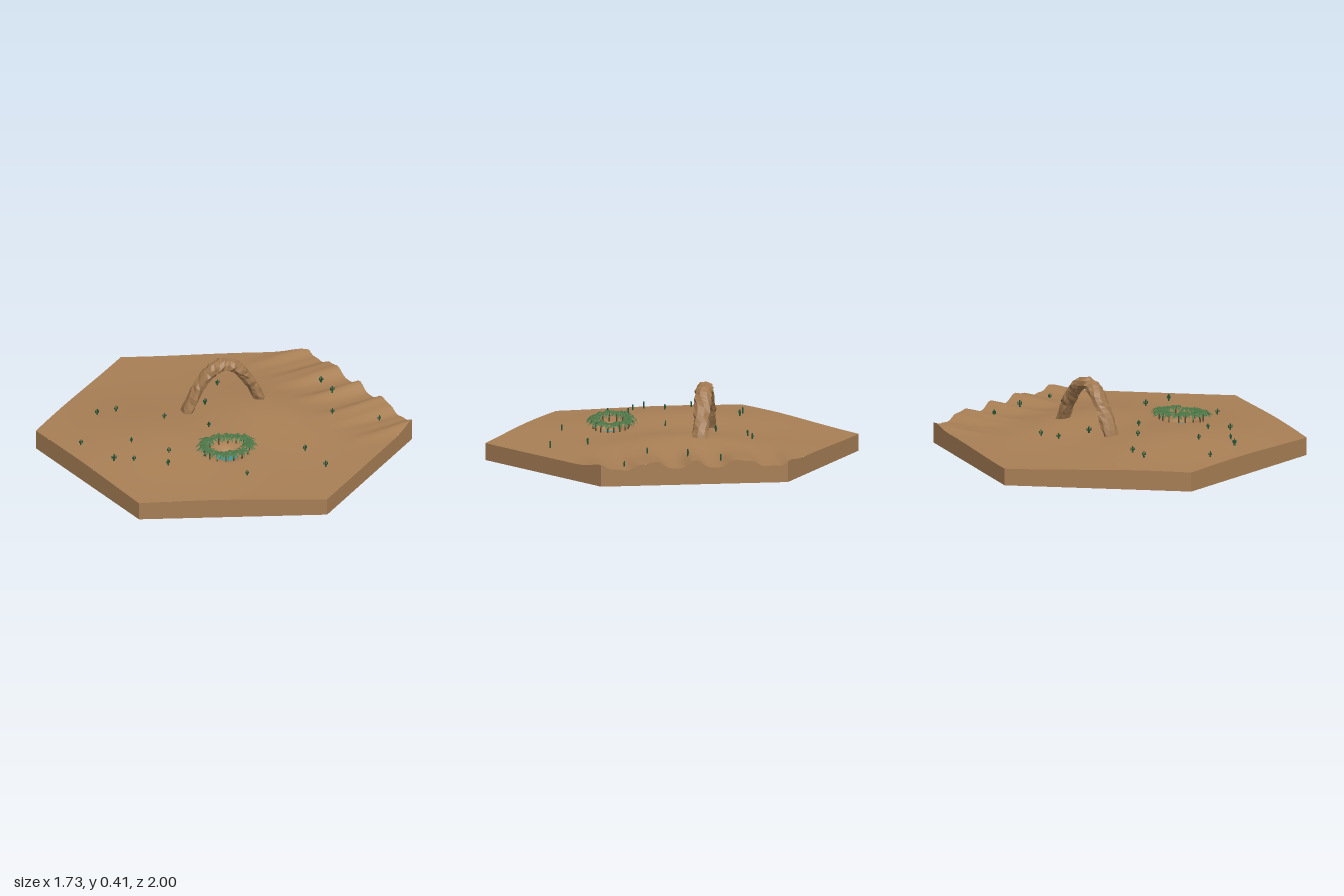
import * as THREE from 'three';
import { mergeGeometries } from 'three/addons/utils/BufferGeometryUtils.js';

const mat = (name, color, side = THREE.FrontSide) => {
  const m = new THREE.MeshStandardMaterial({ color, side });
  m.name = name;
  return m;
};

const POOL = { x: -0.18, z: 0.3, y: 0.098 };
const ROWS = 96;

let seed = 7;
const rand = () => {
  seed = (seed * 16807) % 2147483647;
  return seed / 2147483647;
};

const hill = (x, z, cx, cz, sx, sz) =>
  Math.exp(-(((x - cx) / sx) ** 2 + ((z - cz) / sz) ** 2) / 2);

// Ground height: two broad dunes, ripples along the +x side, and the pool bowl
function ground(x, z) {
  let h = 0.094 + 0.004 * Math.sin(4 * x + 3 * z + 1);
  h += 0.065 * hill(x, z, -0.4, -0.05, 0.28, 0.35);
  h += 0.052 * hill(x, z, 0.28, 0.0, 0.18, 0.28);
  const ramp = THREE.MathUtils.smoothstep(x, 0.38, 0.85);
  const fade = 1 - THREE.MathUtils.smoothstep(Math.abs(z), 0.45, 0.62);
  const wave = Math.cos((2 * Math.PI * (z + 0.01)) / 0.26 + 0.8 * Math.sin(9 * z));
  h += ramp * fade * (0.014 + 0.021 * wave + 0.005 * Math.sin(z * 61 + 2));
  const d = Math.hypot(x - POOL.x, z - POOL.z);
  const k = Math.exp(-((d / 0.06) ** 2));
  return h * (1 - k) + 0.07 * k;
}

// Moves every vertex of a geometry by fn(x, y, z) => [x, y, z]
function reshape(geo, fn) {
  const p = geo.attributes.position;
  for (let i = 0; i < p.count; i++) p.setXYZ(i, ...fn(p.getX(i), p.getY(i), p.getZ(i), i));
  geo.computeVertexNormals();
  return geo;
}

function terrainGeometry() {
  const geo = new THREE.PlaneGeometry(2, 2, ROWS, ROWS).rotateX(-Math.PI / 2);
  return reshape(geo, (u, _, z) => {
    const x = u * Math.min(0.866, (1 - Math.abs(z)) * 1.732);
    return [x, ground(x, z), z];
  });
}

// Side wall between two neighbouring corners of the hexagon
function wallGeometry(k) {
  const corner = (i) => [Math.sin((i * Math.PI) / 3), Math.cos((i * Math.PI) / 3)];
  const [ax, az] = corner(k), [bx, bz] = corner(k + 1);
  return reshape(new THREE.PlaneGeometry(1, 1, 48, 1), (u, v) => {
    const t = u + 0.5;
    const x = ax + (bx - ax) * t, z = az + (bz - az) * t;
    return [x, v > 0 ? ground(x, z) : 0, z];
  });
}

// Faceted rock arch swept along a parabola
function archGeometry() {
  const N = 30, S = 8;
  const noise = Array.from({ length: (N + 1) * S }, () => 0.86 + 0.26 * rand());
  const geo = reshape(new THREE.PlaneGeometry(1, 1, S, N), (_x, _y, _z, i) => {
    const ring = Math.floor(i / (S + 1)), j = (i % (S + 1)) % S;
    const t = (ring / N) * 2 - 1;
    const a = (j / S) * Math.PI * 2 + 0.35 * Math.sin(ring * 0.7);
    const r = noise[ring * S + j];
    const slope = Math.atan2(-2 * 0.258 * t, 0.212);
    const up = Math.cos(a) * (0.033 - 0.005 * t * t) * r;
    const across = Math.sin(a) * 0.046 * r;
    return [0.212 * t - Math.sin(slope) * up, 0.376 - 0.258 * t * t + Math.cos(slope) * up, across];
  });
  const flat = geo.toNonIndexed();
  flat.computeVertexNormals();
  return flat;
}

// Drooping pointed frond reaching out along +z
function frondGeometry() {
  return reshape(new THREE.PlaneGeometry(1, 1, 2, 4).rotateX(-Math.PI / 2), (u, _, v) => {
    const t = v + 0.5;
    const w = 0.019 * (0.3 + 2.4 * t) * (1 - t) + 0.0004;
    return [u * w, 0.024 * t - 0.046 * t * t - Math.abs(u) * w * 0.6, 0.048 * t];
  });
}

function crownGeometry() {
  return mergeGeometries(Array.from({ length: 9 }, (_, i) =>
    frondGeometry().rotateX(i % 2 ? 0.12 : -0.12).rotateY((i * Math.PI * 2) / 9)));
}

// Upright cactus with two bent arms
function cactusGeometry() {
  const post = (r, h, x, y) => new THREE.CylinderGeometry(r * 0.8, r, h, 6).translate(x, y + h / 2, 0);
  const link = (x, y) => new THREE.CylinderGeometry(0.0025, 0.0025, 0.009, 5)
    .rotateZ(Math.PI / 2).translate(x, y, 0);
  return mergeGeometries([
    post(0.0045, 0.038, 0, -0.004),
    link(0.006, 0.012), post(0.003, 0.014, 0.01, 0.011),
    link(-0.006, 0.016), post(0.003, 0.013, -0.01, 0.015),
  ]);
}

export function createModel() {
  seed = 7;
  const sand = mat('sand', 0xa87f55, THREE.DoubleSide);
  const rock = mat('rock', 0xa0784f, THREE.DoubleSide);
  const water = mat('water', 0x3c97a0, THREE.DoubleSide);
  const leaf = mat('palm leaf', 0x4a7545, THREE.DoubleSide);
  const bark = mat('palm bark', 0x5f4a30);
  const cactusGreen = mat('cactus green', 0x24573a);

  const model = new THREE.Group();
  model.name = 'desertTile';
  const add = (name, geo, material, parent = model) => {
    const mesh = new THREE.Mesh(geo, material);
    mesh.name = name;
    parent.add(mesh);
    return mesh;
  };

  // Hexagonal open-bottomed tile
  add('terrain', terrainGeometry(), sand);
  for (let k = 0; k < 6; k++) add('sideWall', wallGeometry(k), sand);

  // Rock arch
  const arch = add('rockArch', archGeometry(), rock);
  arch.position.set(0.1, 0, -0.16);
  arch.rotation.y = -0.23;

  // Oasis: pool ringed by palms
  const oasis = new THREE.Group();
  oasis.name = 'oasis';
  model.add(oasis);
  add('pool', new THREE.CircleGeometry(0.085, 32).rotateX(-Math.PI / 2), water, oasis)
    .position.set(POOL.x, POOL.y, POOL.z);
  const crown = crownGeometry();
  const PALMS = 16;
  for (let i = 0; i < PALMS; i++) {
    const a = ((i + 0.3 * rand()) / PALMS) * Math.PI * 2;
    const x = POOL.x + 0.132 * Math.cos(a), z = POOL.z + 0.094 * Math.sin(a);
    const h = 0.044 + 0.012 * rand();
    const palm = new THREE.Group();
    palm.name = 'palm';
    palm.position.set(x, ground(x, z), z);
    palm.rotation.y = rand() * 6.28;
    add('palmTrunk', new THREE.CylinderGeometry(0.003, 0.0045, h + 0.004, 6)
      .translate(0, h / 2 - 0.002, 0), bark, palm);
    add('palmCrown', crown, leaf, palm).position.y = h;
    oasis.add(palm);
  }

  // Scattered cacti
  const cactus = cactusGeometry();
  [
    [-0.51, -0.45], [-0.41, -0.42], [0.11, -0.39], [0.22, -0.4], [-0.77, -0.21],
    [-0.26, -0.18], [0.03, -0.23], [0.72, -0.16], [-0.56, -0.04], [-0.73, 0.05],
    [-0.65, 0.12], [-0.11, 0.02], [0.68, 0.01], [-0.46, 0.17], [-0.53, 0.27],
    [0.55, 0.21], [0.75, 0.36], [0.2, 0.48], [-0.22, 0.56], [0.2, 0.68],
  ].forEach(([x, z]) => {
    const c = add('cactus', cactus, cactusGreen);
    c.position.set(x, ground(x, z), z);
    c.rotation.y = (rand() - 0.5) * 0.6;
    c.scale.setScalar(0.85 + 0.25 * rand());
  });

  return model;
}
